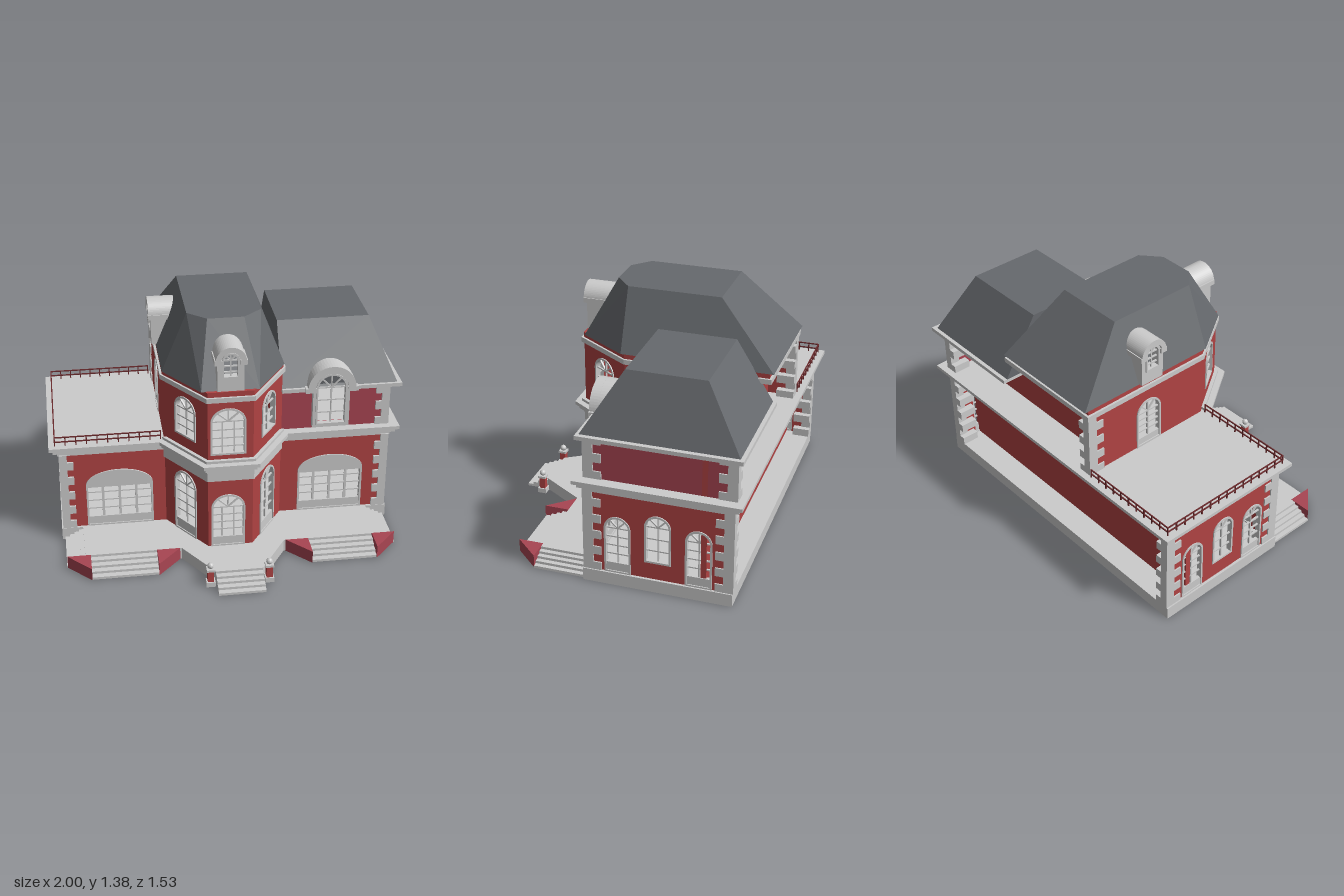
import * as THREE from 'three';
import { ConvexGeometry } from 'three/addons/geometries/ConvexGeometry.js';

const paint = (color) => new THREE.MeshStandardMaterial({ color, flatShading: true });

export function createModel() {
  const house = new THREE.Group();
  house.name = 'house';
  const grey = paint(0xcccccc), red = paint(0xb04343), rose = paint(0xa84552);
  const slate = paint(0x66696d), iron = paint(0x6b2a2c);

  const add = (name, geo, mat, parent = house) => {
    const m = new THREE.Mesh(geo, mat);
    m.name = name;
    parent.add(m);
    return m;
  };
  // box given by its limits on each axis
  const box = (name, x0, x1, y0, y1, z0, z1, mat, parent) => {
    const m = add(name, new THREE.BoxGeometry(x1 - x0, y1 - y0, z1 - z0), mat, parent);
    m.position.set((x0 + x1) / 2, (y0 + y1) / 2, (z0 + z1) / 2);
    return m;
  };
  // horizontal slab from a plan outline of [x, z] points
  const slab = (name, pts, y0, y1, mat) => {
    const s = new THREE.Shape(pts.map(([x, z]) => new THREE.Vector2(x, -z)));
    const g = new THREE.ExtrudeGeometry(s, { depth: y1 - y0, bevelEnabled: false });
    add(name, g.rotateX(-Math.PI / 2).translate(0, y0, 0), mat);
  };
  const arch = (Cls, u, w, y0, ys, rise) => {
    const p = new Cls();
    p.moveTo(u - w / 2, y0);
    p.lineTo(u + w / 2, y0);
    p.lineTo(u + w / 2, ys);
    p.absellipse(u, ys, w / 2, rise, 0, Math.PI, false);
    p.closePath();
    return p;
  };
  const extrude = (s, z0, z1) =>
    new THREE.ExtrudeGeometry(s, { depth: z1 - z0, bevelEnabled: false, curveSegments: 14 }).translate(0, 0, z0);

  // arched window: frame, lower panel, glazing bars and fanlight or solid head
  const arched = (parent, o) => {
    const { u, w, y0, ys, rise, panel = 0, cols = 2, rows = 4, solidHead = false } = o;
    const f = 0.011, b = 0.0035;
    const frame = arch(THREE.Shape, u, w, y0, ys, rise);
    frame.holes.push(arch(THREE.Path, u, w - 2 * f, y0 + f, ys, rise - f));
    add('windowFrame', extrude(frame, -0.026, 0.006), grey, parent);
    if (panel) box('lowerPanel', u - w / 2, u + w / 2, y0, y0 + panel, -0.02, 0, grey, parent);
    if (solidHead) add('archInfill', extrude(arch(THREE.Shape, u, w, ys - 0.012, ys, rise), -0.02, 0.008), grey, parent);
    const base = y0 + panel;
    for (let i = 1; i < cols; i++) {
      const x = u - w / 2 + (w * i) / cols, t = solidHead ? 2 * b : b;
      box('glazingBar', x - t, x + t, base, ys, -0.016, -0.006, grey, parent);
    }
    for (let i = 1; i <= rows; i++) {
      const y = base + ((ys - base) * i) / rows;
      box('glazingBar', u - w / 2, u + w / 2, y - b, y + b, -0.016, -0.006, grey, parent);
    }
    if (!solidHead) for (let i = 1; i < 4; i++) {
      const a = (i * Math.PI) / 4, ex = Math.cos(a) * w / 2, ey = Math.sin(a) * rise;
      const m = add('fanlightBar', new THREE.BoxGeometry(Math.hypot(ex, ey), 2 * b, 0.01), grey, parent);
      m.position.set(u + ex / 2, ys + ey / 2, -0.011);
      m.rotation.z = Math.atan2(ey, ex);
    }
  };

  // wall between two plan points with its outside to the right of travel
  const facade = (name, [x0, z0], [x1, z1], y0, y1, mat, windows = []) => {
    const g = new THREE.Group();
    g.name = name;
    const len = Math.hypot(x1 - x0, z1 - z0);
    const s = new THREE.Shape([[0, y0], [len, y0], [len, y1], [0, y1]].map((p) => new THREE.Vector2(...p)));
    windows.forEach((o) => {
      s.holes.push(arch(THREE.Path, o.u, o.w, o.y0 + 0.001, o.ys, o.rise));
      if (!o.bare) arched(g, o);
    });
    add(name + 'Panel', extrude(s, -0.03, 0), mat, g);
    g.position.set(x0, 0, z0);
    g.rotation.y = Math.atan2(z0 - z1, x1 - x0);
    house.add(g);
  };

  // corner stones, alternately long and short
  const quoins = (x, z, sx, sz, y0, y1) => {
    const n = Math.round((y1 - y0) / 0.048), h = (y1 - y0) / n;
    for (let i = 0; i < n; i++) {
      const lx = i % 2 ? 0.045 : 0.08, lz = i % 2 ? 0.055 : 0.1;
      const m = box('quoin', 0, lx, y0 + i * h, y0 + (i + 1) * h, 0, lz, grey);
      m.position.x = x + sx * (0.008 - lx / 2);
      m.position.z = z + sz * (0.008 - lz / 2);
    }
  };

  // plan outlines, grown outward by o
  const bay = (o) => [[0.32 + 0.53 * o, 0.08 + o], [0.11 + 0.53 * o, 0.39 + o], [-0.14 - 0.53 * o, 0.39 + o], [-0.35 - 0.53 * o, 0.08 + o]];
  const ground = (o) => [[-0.94 - o, -0.71 - o], [0.94 + o, -0.71 - o], [0.94 + o, 0.08 + o], ...bay(o), [-0.94 - o, 0.08 + o]];
  const middle = (o) => [[-0.35 - o, -0.72 - o], [0.32 + o, -0.72 - o], [0.32 + o, 0.08], ...bay(o).slice(1, 3), [-0.35 - o, 0.08]];

  // foundation and porch
  slab('foundation', [[-0.95, -0.715], [0.95, -0.715], [0.95, 0.1], [0.83, 0.1], [0.83, 0.39], [0.29, 0.39],
    [0.13, 0.64], [-0.13, 0.64], [-0.29, 0.39], [-0.83, 0.39], [-0.83, 0.1], [-0.95, 0.1]], 0, 0.072, grey);
  for (let i = 1; i <= 4; i++) {
    const h = 0.072 * (1 - i / 5);
    box('frontStep', -0.13, 0.13, 0, h, 0.6, 0.64 + i * 0.0315, grey);
    for (const s of [-1, 1]) {
      box('garageStep', s * 0.615 - 0.185, s * 0.615 + 0.185, 0, h, 0.38, 0.39 + i * 0.0335, grey);
      const xa = s * 0.82, xb = s * (0.83 + i * 0.026);
      box('sideStep', Math.min(xa, xb), Math.max(xa, xb), 0, h, 0.1, 0.39, grey);
    }
  }
  for (const s of [-1, 1]) {
    slab('stepWedge', [[s * 0.93, 0.39], [s * 0.8, 0.39], [s * 0.8, 0.53]], 0, 0.074, rose);
    slab('stepWedge', [[s * 0.3, 0.39], [s * 0.43, 0.39], [s * 0.43, 0.53]], 0, 0.074, rose);
    // gate post with ball
    const x = s * 0.162, z = 0.655;
    box('postFoot', x - 0.025, x + 0.025, 0, 0.028, z - 0.025, z + 0.025, grey);
    box('postShaft', x - 0.017, x + 0.017, 0.028, 0.095, z - 0.017, z + 0.017, red);
    box('postCap', x - 0.023, x + 0.023, 0.095, 0.108, z - 0.023, z + 0.023, grey);
    add('postBall', new THREE.SphereGeometry(0.018, 12, 8), grey).position.set(x, 0.124, z);
  }

  // ground floor walls
  const G0 = 0.07, G1 = 0.55, F0 = 0.61;
  const garage = (u) => ({ u, w: 0.38, y0: G0, ys: 0.34, rise: 0.095, panel: 0.06, cols: 4, rows: 4, solidHead: true });
  const sideWindows = [0.17, 0.39, 0.61].map((u, i) => i === 1
    ? { u, w: 0.145, y0: 0.17, ys: 0.382, rise: 0.073, rows: 3 }
    : { u, w: 0.145, y0: G0, ys: 0.337, rise: 0.073, panel: 0.06 });
  facade('leftGarageWall', [-0.935, 0.085], [-0.345, 0.085], G0, G1, red, [garage(0.325)]);
  facade('rightGarageWall', [0.315, 0.085], [0.935, 0.085], G0, G1, red, [garage(0.295)]);
  facade('sideWall', [0.935, 0.08], [0.935, -0.71], G0, G1, red, sideWindows);
  facade('sideWall', [-0.935, -0.71], [-0.935, 0.08], G0, G1, red, sideWindows.map((o) => ({ ...o, u: 0.79 - o.u })));
  facade('groundBackWall', [0.93, -0.57], [-0.93, -0.57], G0, G1, red);
  for (const s of [-1, 1]) {
    quoins(s * 0.935, 0.09, s, 1, G0, G1);
    quoins(s * 0.935, -0.71, s, -1, G0, G1);
  }

  // bay tower, both storeys
  const [bR, bFR, bFL, bL] = bay(0);
  const sideDoor = { u: 0.185, w: 0.185, y0: G0, ys: 0.385, rise: 0.088, panel: 0.07 };
  const sideUpper = { u: 0.19, w: 0.175, y0: 0.7, ys: 0.865, rise: 0.08, rows: 3 };
  for (const [a, b] of [[bL, bFL], [bFR, bR]]) {
    facade('bayGroundSide', a, b, G0, G1, red, [sideDoor]);
    facade('bayUpperSide', a, b, F0, 1.0, red, [sideUpper]);
  }
  facade('bayGroundFront', bFL, bFR, G0, G1, red, [{ u: 0.112, w: 0.19, y0: G0, ys: 0.32, rise: 0.085, panel: 0.06, cols: 3 }]);
  facade('bayUpperFront', bFL, bFR, F0, 1.0, red, [{ u: 0.112, w: 0.195, y0: 0.66, ys: 0.86, rise: 0.083, cols: 3 }]);
  slab('bayBand', bay(0.008), 0.497, 0.56, grey);

  // cornice over the ground floor
  slab('groundBand', ground(0.01), 0.545, 0.572, grey);
  slab('groundCornice', ground(0.035), 0.572, 0.597, grey);
  slab('terrace', ground(0.055), 0.597, 0.617, grey);
  slab('bayPlinth', bay(0.02), 0.61, 0.632, grey);

  // upper floor walls
  facade('upperLeftWall', [-0.35, -0.72], [-0.35, 0.08], F0, 1.0, red,
    [{ u: 0.41, w: 0.17, y0: 0.617, ys: 0.825, rise: 0.085, panel: 0.05 }]);
  facade('upperPartyWall', [0.32, 0.08], [0.32, -0.57], F0, 1.0, red);
  facade('upperBackWall', [0.32, -0.57], [-0.35, -0.57], F0, 1.0, red);
  facade('wingBackWall', [0.93, -0.57], [0.31, -0.57], F0, 0.865, red);
  facade('wingSideWall', [0.93, 0.08], [0.93, -0.72], F0, 0.865, rose);
  facade('wingFrontWall', [0.315, 0.08], [0.93, 0.08], F0, 0.865, rose,
    [{ u: 0.28, w: 0.19, y0: 0.64, ys: 0.86, rise: 0.002, bare: true }]);
  quoins(0.93, 0.085, 1, 1, F0, 0.865);
  quoins(0.93, -0.72, 1, -1, F0, 0.865);
  quoins(-0.35, -0.72, -1, -1, F0, 0.99);

  // upper cornices
  slab('mainCornice', middle(0.015), 0.985, 1.013, grey);
  slab('mainFrieze', middle(0.002), 1.013, 1.042, red);
  slab('wingCornice', [[0.315, -0.765], [1.0, -0.765], [1.0, 0.11], [0.695, 0.11], [0.695, 0.05], [0.495, 0.05],
    [0.495, 0.11], [0.315, 0.11]], 0.86, 0.882, grey);

  // slate roofs
  const roof = (name, low, y0, high, y1) => add(name, new ConvexGeometry([
    ...low.map(([x, z]) => new THREE.Vector3(x, y0, z)), ...high.map(([x, z]) => new THREE.Vector3(x, y1, z))]), slate);
  roof('mainRoof', [[-0.355, -0.745], [0.325, -0.745], [0.325, 0.1], [0.142, 0.375], [-0.172, 0.375], [-0.355, 0.1]], 1.04,
    [[-0.215, -0.42], [0.19, -0.42], [0.19, 0.1], [0.085, 0.19], [-0.115, 0.19], [-0.215, 0.1]], 1.38);
  roof('wingRoof', [[0.315, -0.745], [0.975, -0.745], [0.975, 0.095], [0.315, 0.095]], 0.88,
    [[0.315, -0.54], [0.84, -0.54], [0.84, -0.11], [0.315, -0.11]], 1.21);

  // barrel dormer facing local +z, front at z = 0
  const dormer = (name, { w, hood, y0, ys, depth, open, sill, flare }) => {
    const g = new THREE.Group();
    g.name = name;
    const body = arch(THREE.Shape, 0, w, y0, ys, w / 2);
    body.holes.push(arch(THREE.Path, 0, open, sill, ys, open / 2));
    add('dormerBody', extrude(body, -depth, -0.015), grey, g);
    const cap = new THREE.Shape();
    cap.absarc(0, ys, hood, 0, Math.PI, false);
    cap.absarc(0, ys, open / 2 + 0.006, Math.PI, 0, true);
    cap.closePath();
    add('dormerHood', extrude(cap, -depth, 0), grey, g);
    const front = new THREE.Group();
    front.position.z = -0.015;
    g.add(front);
    arched(front, { u: 0, w: open, y0: sill, ys, rise: open / 2, rows: 3 });
    for (const s of [-1, 1]) {
      const xa = s * open / 2, xb = s * flare;
      box('dormerBracket', Math.min(xa, xb), Math.max(xa, xb), ys - 0.02, ys + 0.008, -depth, 0, grey, g);
    }
    house.add(g);
    return g;
  };
  const small = { w: 0.145, hood: 0.083, y0: 1.045, ys: 1.222, depth: 0.17, open: 0.095, sill: 1.12, flare: 0.088 };
  dormer('frontDormer', small).position.set(-0.015, 0, 0.405);
  const left = dormer('leftDormer', small);
  left.position.set(-0.395, 0, -0.31);
  left.rotation.y = -Math.PI / 2;
  // window breaking through the wing eaves
  const wing = dormer('wingDormer', { w: 0.21, hood: 0.137, y0: 0.635, ys: 0.88, depth: 0.05, open: 0.178, sill: 0.65, flare: 0.15 });
  wing.position.set(0.595, 0, 0.13);
  const vault = new THREE.CylinderGeometry(0.136, 0.136, 0.12, 24, 1, false, -Math.PI / 2, Math.PI);
  add('wingDormerVault', vault.rotateX(-Math.PI / 2), grey).position.set(0.595, 0.88, 0.022);
  // dark recess behind the arched panes
  add('wingDormerRecess', extrude(arch(THREE.Shape, 0.595, 0.18, 0.882, 0.884, 0.088), 0.082, 0.086), slate);

  // terrace railing
  const rail = [[-0.37, 0.095], [-0.96, 0.095], [-0.96, -0.73], [-0.37, -0.73]];
  for (let k = 0; k < 3; k++) {
    const [xa, za] = rail[k], [xb, zb] = rail[k + 1], n = Math.round(Math.hypot(xb - xa, zb - za) / 0.06);
    for (const y of [0.64, 0.668]) box('railBar', Math.min(xa, xb) - 0.003, Math.max(xa, xb) + 0.003, y - 0.003, y + 0.003,
      Math.min(za, zb) - 0.003, Math.max(za, zb) + 0.003, iron);
    for (let i = 0; i <= n; i++) {
      const x = xa + ((xb - xa) * i) / n, z = za + ((zb - za) * i) / n;
      box('railPost', x - 0.003, x + 0.003, 0.615, 0.668, z - 0.003, z + 0.003, iron);
    }
  }
  return house;
}
